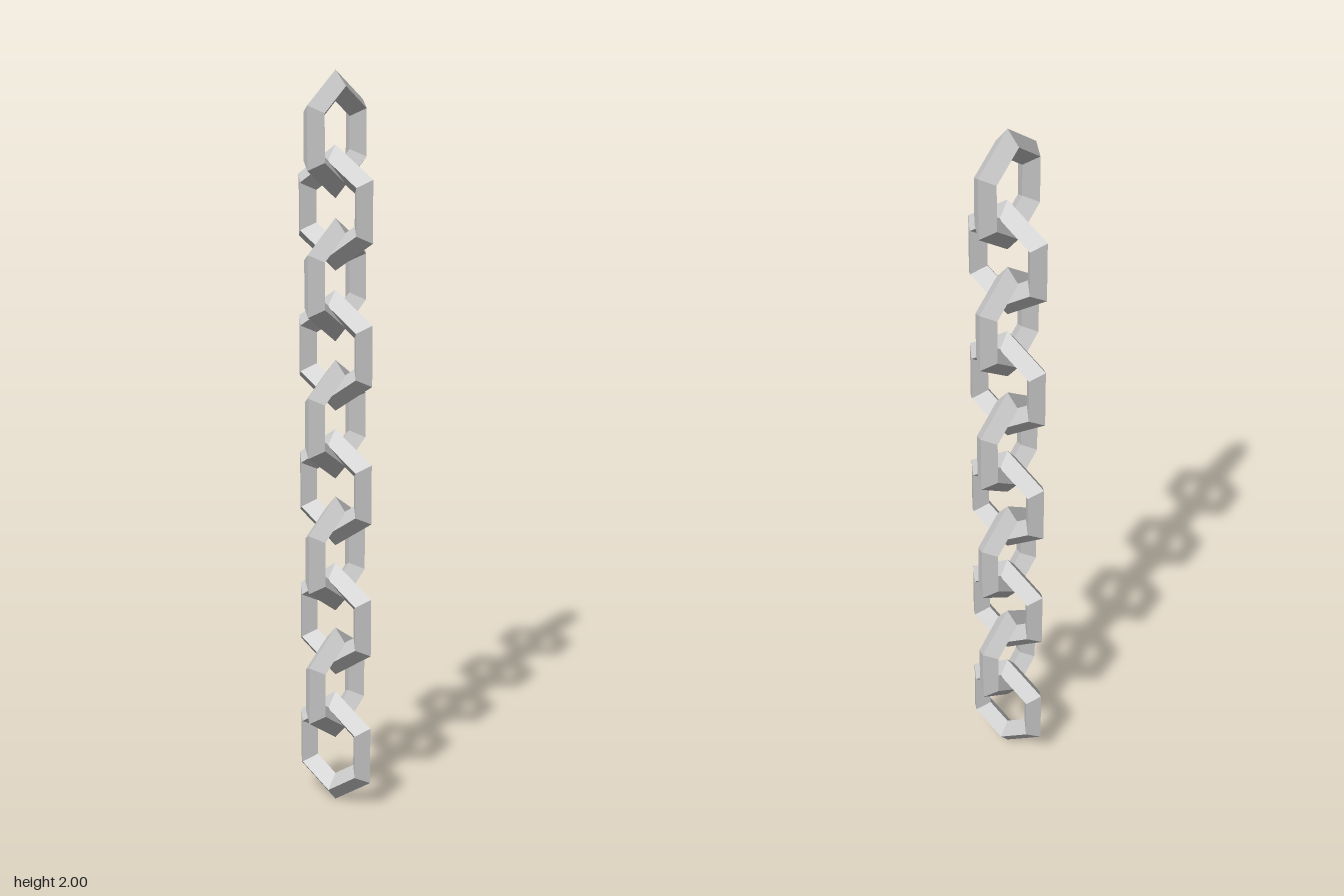
import * as THREE from 'three';

const LINKS = 10;
const HEIGHT = 0.323;                       // height of one link
const RING = 0.1033, WIRE = 0.033;          // ring radius and half thickness
const STEP = (2 - HEIGHT) / (LINKS - 1);    // distance between link centres

export function createModel() {
  const chain = new THREE.Group();
  chain.name = 'chain';
  const material = new THREE.MeshStandardMaterial({ color: 0xcccccc, flatShading: true });

  // Six-sided link with a diamond cross-section, point up, stretched in height
  const link = new THREE.TorusGeometry(RING, WIRE, 4, 6);
  link.rotateZ(Math.PI / 6);
  link.scale(1, HEIGHT / 2 / (RING + WIRE), 1);

  // Links from top to bottom, every second one turned a quarter
  for (let i = 0; i < LINKS; i++) {
    const mesh = new THREE.Mesh(link, material);
    mesh.name = `link${i + 1}`;
    mesh.position.y = 2 - HEIGHT / 2 - i * STEP;
    mesh.rotation.y = (i % 2) * Math.PI / 2;
    chain.add(mesh);
  }
  return chain;
}
